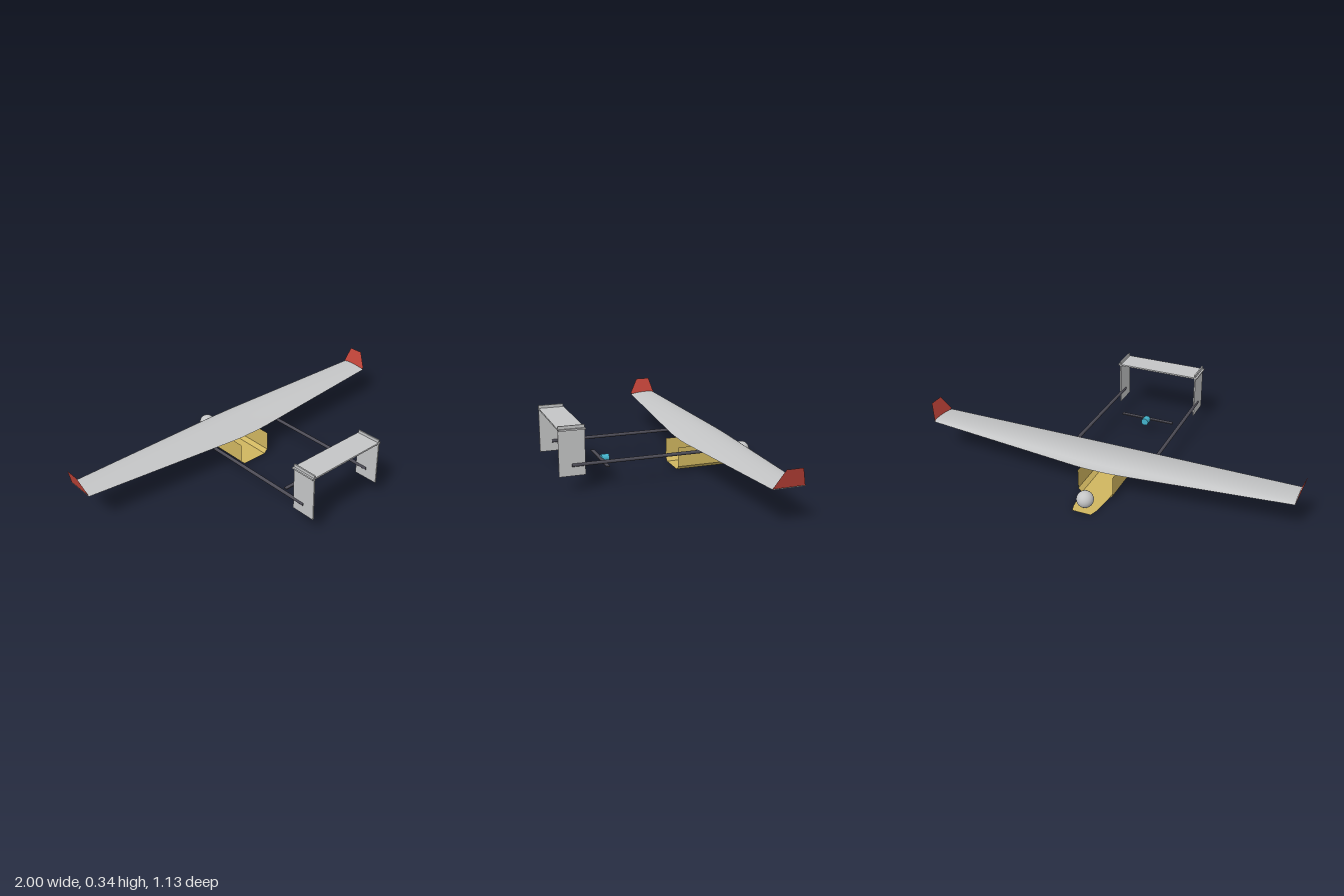
import * as THREE from 'three';

const mat = (name, color, side = THREE.FrontSide) => {
  const m = new THREE.MeshStandardMaterial({ color, side });
  m.name = name;
  return m;
};
const lerp = THREE.MathUtils.lerp;

// Grid of triangles between equal-length rows of [x, y, z] points
function loft(rows) {
  const n = rows[0].length, index = [];
  for (let i = 0; i < rows.length - 1; i++)
    for (let j = 0; j < n - 1; j++) {
      const a = i * n + j, b = a + n;
      index.push(a, b, a + 1, b, b + 1, a + 1);
    }
  const g = new THREE.BufferGeometry();
  g.setAttribute('position', new THREE.Float32BufferAttribute(rows.flat(2), 3));
  g.setIndex(index);
  g.computeVertexNormals();
  return g;
}

// One skin of the flat-bottomed, tapered wing with dihedral
function wingSkin(upper) {
  const g = new THREE.PlaneGeometry(2, 1, 32, 16).rotateX(upper ? -Math.PI / 2 : Math.PI / 2);
  const p = g.attributes.position;
  for (let i = 0; i < p.count; i++) {
    const s = p.getX(i), u = Math.min(1, Math.max(0, p.getZ(i) + 0.5));
    const c = u * u * 0.35 + u * 0.65; // denser towards the leading edge at c = 0
    const t = Math.max(0, (Math.abs(s) - 0.08) / 0.92);
    const front = lerp(-0.38, -0.325, t), back = lerp(-0.113, -0.165, t);
    const base = lerp(0.147, 0.179, t), thick = lerp(0.038, 0.011, t);
    const lift = upper ? 2.6 * Math.sqrt(c) * (1 - c) * 0.5 * 2 * 0.5 / 0.5 * 0.999 : 0;
    p.setXYZ(i, s * 0.975, base + thick * Math.min(1, lift), lerp(front, back, c));
  }
  g.computeVertexNormals();
  return g;
}

export function createModel() {
  const model = new THREE.Group();
  model.name = 'twinBoomAircraft';
  const grey = mat('light grey', 0xc4c5c6, THREE.DoubleSide);
  const dark = mat('dark grey', 0x4c4b55);
  const tan = mat('tan', 0xd0b660, THREE.DoubleSide);
  const red = mat('red', 0xc4453a, THREE.DoubleSide);
  const cyan = mat('cyan', 0x43b2cb);

  const add = (name, geometry, material, x = 0, y = 0, z = 0) => {
    const m = new THREE.Mesh(geometry, material);
    m.name = name;
    m.position.set(x, y, z);
    model.add(m);
    return m;
  };

  // Wing
  add('wingTop', wingSkin(true), grey);
  add('wingUnderside', wingSkin(false), grey);

  // Open hull: walls and chamfers on both sides of a flat floor
  const zRear = -0.08, zFront = -0.378;
  for (const s of [1, -1]) {
    const strip = (name, a, b) => {
      const rows = [a, b].map(([x, y]) => [[s * x, y, zRear], [s * x, y, zFront]]);
      add(name, loft(s > 0 ? rows : rows.reverse()), tan);
    };
    strip('hullChamfer', [0.074, 0], [0.094, 0.02]);
    strip('hullWall', [0.094, 0.02], [0.094, 0.126]);
  }
  // Floor, tapering forward into the nose tray
  const floor = [[0.074, zRear], [0.074, zFront], [0.069, -0.44], [0.061, -0.5], [0.05, -0.537]];
  add('hullFloor', loft(floor.map(([x, z]) => [[x, 0, z], [-x, 0, z]])), tan);

  // Camera ball on the nose
  add('noseBall', new THREE.SphereGeometry(0.043, 32, 20), grey, 0, 0.052, -0.493);

  // Booms, tail fins and winglets
  for (const s of [1, -1]) {
    add('boom', new THREE.CylinderGeometry(0.009, 0.009, 0.782, 16).rotateX(Math.PI / 2),
      dark, s * 0.225, 0.135, 0.135);
    add('tailFin', new THREE.BoxGeometry(0.007, 0.255, 0.133), grey, s * 0.225, 0.208, 0.525);
    const rows = [
      [[s * 0.975, 0.182, -0.163], [s * 0.975, 0.182, -0.322]],
      [[s * 1.0, 0.272, -0.213], [s * 1.0, 0.272, -0.295]],
    ];
    add('winglet', loft(s > 0 ? rows : rows.reverse()), red);
  }
  add('tailplane', new THREE.BoxGeometry(0.476, 0.008, 0.135), grey, 0, 0.316, 0.523);

  // Pusher motor and propeller
  add('motor', new THREE.CylinderGeometry(0.02, 0.02, 0.04, 24).rotateX(Math.PI / 2),
    cyan, 0, 0.082, 0.296);
  add('propeller', new THREE.BoxGeometry(0.302, 0.006, 0.02), dark, 0, 0.083, 0.322);

  return model;
}
